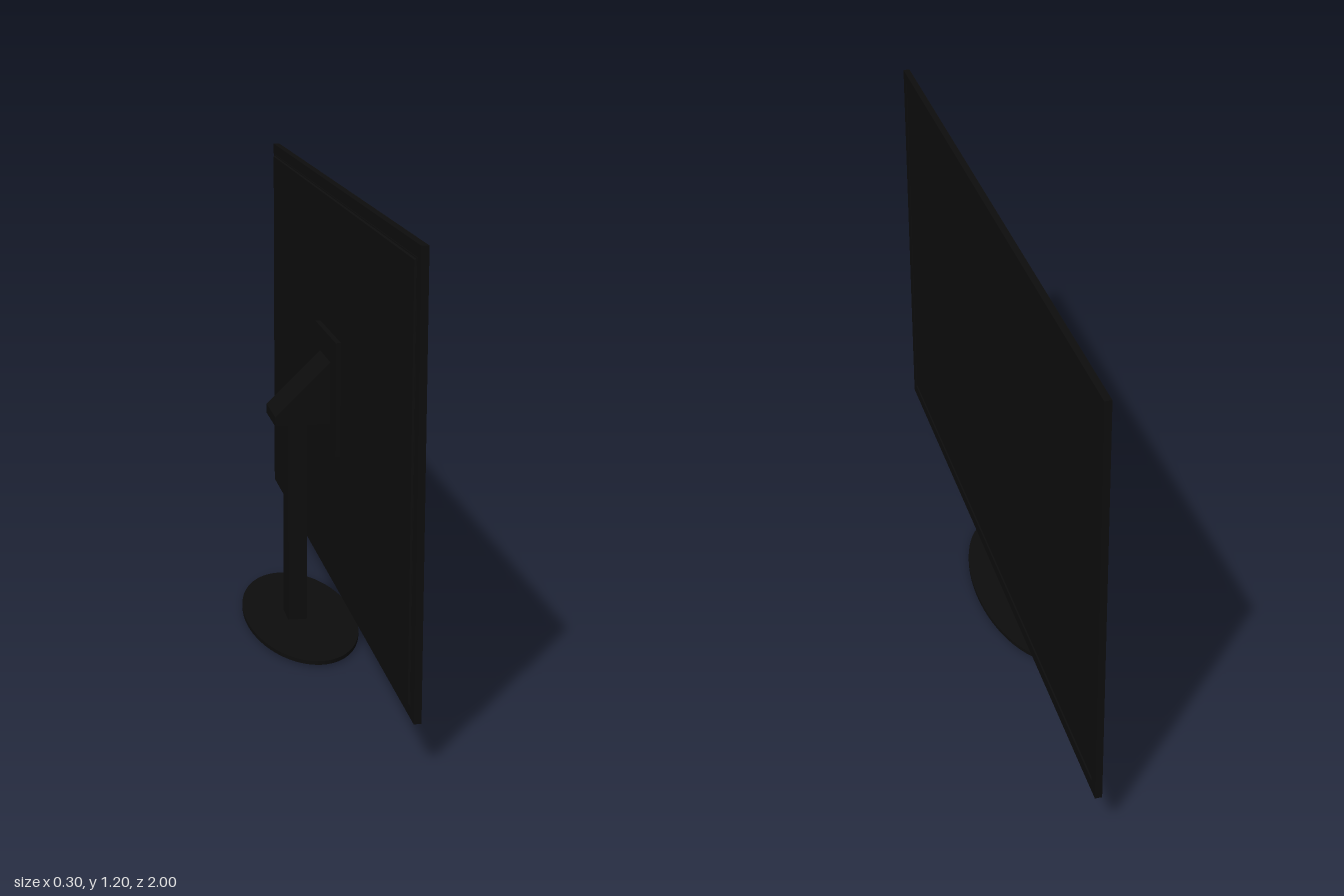
import * as THREE from 'three';

const material = new THREE.MeshStandardMaterial({ color: 0x0d0d0d });

function add(group, name, geometry, x = 0, y = 0, z = 0) {
  const mesh = new THREE.Mesh(geometry, material);
  mesh.name = name;
  mesh.position.set(x, y, z);
  group.add(mesh);
  return mesh;
}

// Box given by its minimum and maximum x and y, and its width along z
function addBox(group, name, x0, x1, y0, y1, width) {
  return add(group, name, new THREE.BoxGeometry(x1 - x0, y1 - y0, width), (x0 + x1) / 2, (y0 + y1) / 2);
}

function rectangle(Type, w, h) {
  return new Type([
    new THREE.Vector2(-w, -h), new THREE.Vector2(w, -h),
    new THREE.Vector2(w, h), new THREE.Vector2(-w, h),
  ]);
}

export function createModel() {
  const model = new THREE.Group();
  model.name = 'monitor';

  // Screen assembly, facing +x
  const display = new THREE.Group();
  display.name = 'display';
  model.add(display);
  const bottom = 0.11, top = 1.195, border = 0.03;
  const midY = (bottom + top) / 2, halfH = (top - bottom) / 2;

  // Bezel: a rectangular frame standing slightly proud of the screen
  const frame = rectangle(THREE.Shape, 1, halfH);
  frame.holes.push(rectangle(THREE.Path, 1 - border, halfH - border));
  const bezel = new THREE.ExtrudeGeometry(frame, { depth: 0.018, bevelEnabled: false });
  bezel.rotateY(Math.PI / 2);
  add(display, 'bezel', bezel, 0.09, midY);
  addBox(display, 'screen', 0.088, 0.104, bottom + border, top - border, 2 - 2 * border);

  // Back cover: a shallow panel with chamfered edges
  const cover = new THREE.BoxGeometry(0.008, 2 * (halfH - border), 2 - 2 * border);
  const p = cover.attributes.position;
  for (let i = 0; i < p.count; i++) {
    if (p.getX(i) < 0) {
      p.setY(i, p.getY(i) - Math.sign(p.getY(i)) * 0.006);
      p.setZ(i, p.getZ(i) - Math.sign(p.getZ(i)) * 0.006);
    }
  }
  cover.computeVertexNormals();
  add(display, 'backCover', cover, 0.088, midY);

  // Square mounting plate
  addBox(model, 'mountPlate', 0.07, 0.085, 0.5, 0.805, 0.3);

  // Wedge bracket joining the column to the plate
  const profile = new THREE.Shape([
    new THREE.Vector2(-0.077, 0.57), new THREE.Vector2(0.072, 0.57),
    new THREE.Vector2(0.072, 0.74), new THREE.Vector2(-0.077, 0.595),
  ]);
  const wedge = new THREE.ExtrudeGeometry(profile, { depth: 0.15, bevelEnabled: false });
  add(model, 'bracket', wedge, 0, 0, -0.075);

  // Column and oval foot
  addBox(model, 'column', -0.037, 0.015, 0, 0.57, 0.08);
  const foot = new THREE.CylinderGeometry(1, 1, 0.01, 64);
  foot.scale(0.15, 1, 0.353);
  add(model, 'base', foot, 0, 0.009);

  return model;
}
